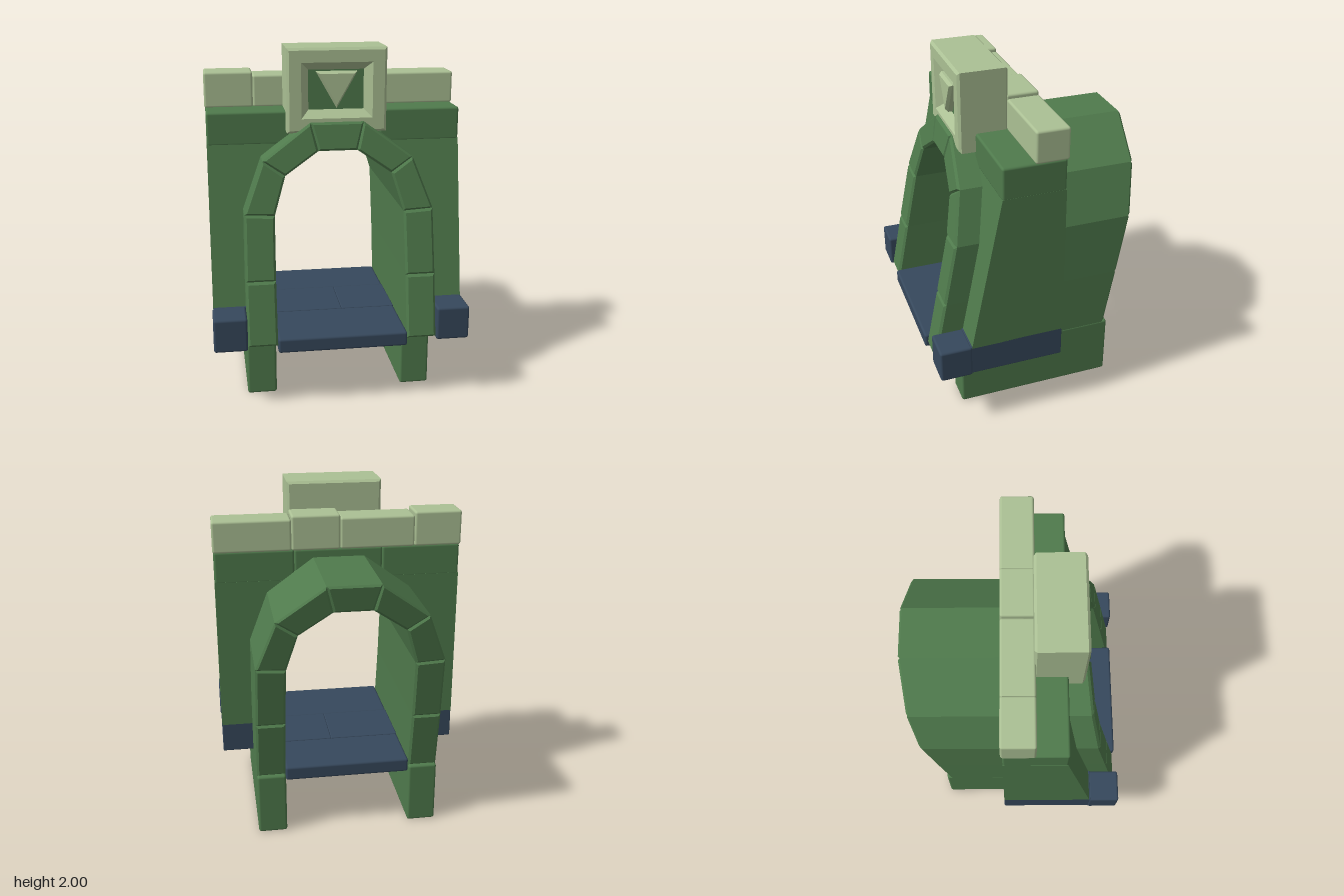
import * as THREE from 'three';
import { RoundedBoxGeometry } from 'three/addons/geometries/RoundedBoxGeometry.js';

const mossGreen = new THREE.MeshStandardMaterial({ name: 'mossGreen', color: 0x4f7a4c });
const paleGreen = new THREE.MeshStandardMaterial({ name: 'paleGreen', color: 0xabc094 });
const slateBlue = new THREE.MeshStandardMaterial({ name: 'slateBlue', color: 0x36485c });

export function createModel() {
  const root = new THREE.Group();
  root.name = 'stoneArchway';

  const add = (name, geometry, material) => {
    const mesh = new THREE.Mesh(geometry, material);
    mesh.name = name;
    root.add(mesh);
    return mesh;
  };

  // Softly bevelled block given by its limits on each axis
  const block = (name, material, [x0, x1], [y0, y1], [z0, z1], r = 0.014) => {
    const mesh = add(name, new RoundedBoxGeometry(x1 - x0, y1 - y0, z1 - z0, 2, r), material);
    mesh.position.set((x0 + x1) / 2, (y0 + y1) / 2, (z0 + z1) / 2);
  };
  const mirrored = (s, a, b) => (s > 0 ? [a, b] : [-b, -a]);

  // Extruded outline whose front and back faces lean with height
  const leaning = (name, material, points, front, back, bevel) => {
    const shape = new THREE.Shape(points.map(([x, y]) => new THREE.Vector2(x, y)));
    const g = new THREE.ExtrudeGeometry(shape, {
      depth: 1, bevelEnabled: bevel > 0, bevelThickness: bevel, bevelSize: bevel,
      bevelOffset: -bevel, bevelSegments: 1,
    });
    const p = g.attributes.position;
    for (let i = 0; i < p.count; i++) {
      const y = p.getY(i);
      const t = (p.getZ(i) + bevel) / (1 + 2 * bevel);
      p.setZ(i, THREE.MathUtils.lerp(back(y), front(y), t));
    }
    g.computeVertexNormals();
    return add(name, g, material);
  };

  // Arch stones between joints: [outer point, inner point]
  const joints = [
    [[0.54, 0.37], [0.37, 0.37]],
    [[0.54, 0.73], [0.37, 0.73]],
    [[0.535, 1.1], [0.365, 1.09]],
    [[0.425, 1.39], [0.3, 1.305]],
    [[0.15, 1.59], [0.11, 1.435]],
  ];
  const archFront = (y) => 0.71 - 0.2 * y;
  const archBack = (y) => -0.375 - 0.176 * y;
  for (const s of [1, -1]) {
    const flip = ([x, y]) => [s * x, y];
    const side = s > 0 ? 'left' : 'right';
    for (let i = 0; i < joints.length - 1; i++) {
      const [o0, i0] = joints[i], [o1, i1] = joints[i + 1];
      leaning(`${side}ArchStone${i + 1}`, mossGreen, [o0, o1, i1, i0].map(flip), archFront, archBack, 0.013);
    }

    // Leaning wing wall that meets the middle of the arch stones
    leaning(`${side}Wall`, mossGreen,
      [[0.45, 0.54], [0.725, 0.54], [0.725, 1.46], [0.2, 1.46], [0.37, 1.35], [0.45, 1.1]].map(flip),
      (y) => 0.57 - 0.2 * y, () => -0.08, 0);

    // Foundations and base course
    block(`${side}Foundation`, mossGreen, mirrored(s, 0.37, 0.54), [0, 0.375], [-0.46, 0.475]);
    block(`${side}BaseCourse`, slateBlue, mirrored(s, 0.45, 0.725), [0.365, 0.55], [-0.08, 0.47], 0.006);
    block(`${side}CornerStone`, slateBlue, mirrored(s, 0.54, 0.73), [0.355, 0.55], [0.46, 0.648]);
  }
  const [outer, inner] = joints[4];
  leaning('crownStone', mossGreen,
    [outer, [-outer[0], outer[1]], [-inner[0], inner[1]], inner], archFront, archBack, 0.013);

  // Floor slabs
  block('frontSlab', slateBlue, [-0.37, 0.37], [0.33, 0.415], [0.25, 0.648]);
  block('middleSlabRight', slateBlue, [-0.37, 0.05], [0.33, 0.415], [-0.1, 0.25], 0.006);
  block('middleSlabLeft', slateBlue, [0.05, 0.37], [0.33, 0.415], [-0.1, 0.25], 0.006);
  block('backSlab', slateBlue, [-0.37, 0.37], [0.33, 0.415], [-0.44, -0.1]);

  // Ledge course and parapet stones
  [[-0.725, -0.26], [-0.26, 0.26], [0.26, 0.725]].forEach((x, i) =>
    block(`ledge${i + 1}`, mossGreen, x, [1.45, 1.64], [-0.08, 0.28]));
  [[-0.73, -0.45, 1.84], [-0.45, -0.01, 1.82], [-0.01, 0.275, 1.84], [0.275, 0.73, 1.82]].forEach(([a, b, top], i) =>
    block(`parapetStone${i + 1}`, paleGreen, [a, b], [1.635, top], [-0.09, 0.1]));

  // Keystone: rectangular loops [half width, half height, z] from the back round into the recess
  const loops = [
    [0, 0, 0.09], [0.266, 0.221, 0.09], [0.28, 0.235, 0.104], [0.28, 0.235, 0.361],
    [0.266, 0.221, 0.375], [0.2, 0.155, 0.375], [0.155, 0.11, 0.325],
  ];
  const corners = [[1, 1], [-1, 1], [-1, -1], [1, -1]];
  const at = ([w, h, z], k) => [corners[k % 4][0] * w, corners[k % 4][1] * h, z];
  const verts = [];
  for (let i = 0; i < loops.length - 1; i++) {
    for (let k = 0; k < 4; k++) {
      const a = at(loops[i], k), b = at(loops[i], k + 1);
      const c = at(loops[i + 1], k + 1), d = at(loops[i + 1], k);
      verts.push(...a, ...b, ...c, ...a, ...c, ...d);
    }
  }
  const keyGeometry = new THREE.BufferGeometry();
  keyGeometry.setAttribute('position', new THREE.Float32BufferAttribute(verts, 3));
  keyGeometry.computeVertexNormals();
  add('keystone', keyGeometry, paleGreen).position.y = 1.765;

  // Recessed panel and downward wedge
  add('keystonePanel', new THREE.PlaneGeometry(0.312, 0.222), mossGreen).position.set(0, 1.765, 0.326);
  const wedge = new THREE.Shape([[-0.115, 1.868], [0, 1.665], [0.115, 1.868]].map((p) => new THREE.Vector2(...p)));
  add('keystoneWedge', new THREE.ExtrudeGeometry(wedge, {
    depth: 0.03, bevelThickness: 0.018, bevelSize: 0.015, bevelOffset: -0.015, bevelSegments: 1,
  }), paleGreen).position.z = 0.325;

  return root;
}
